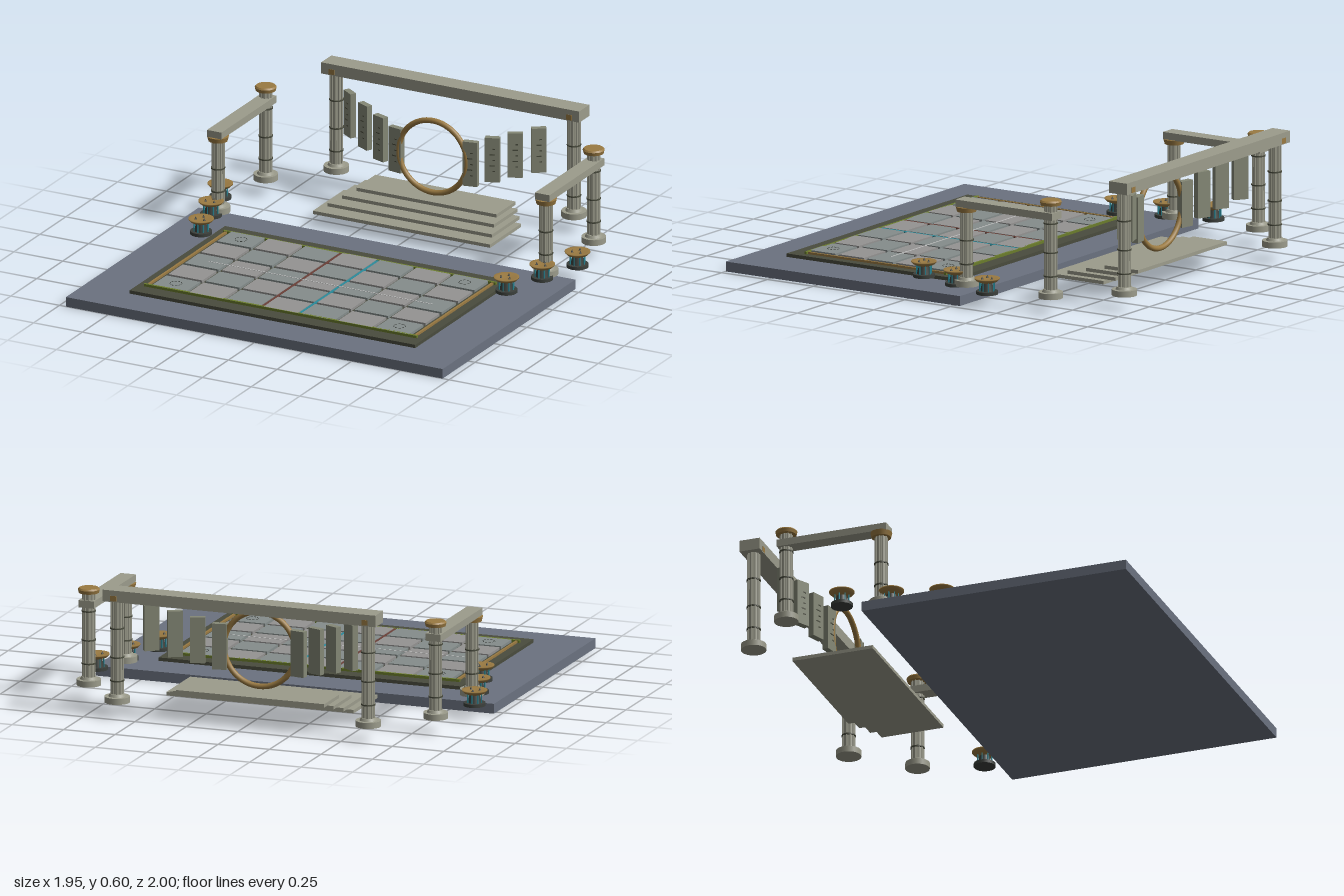
import * as THREE from 'three';

const mat = (color) => {
  const m = new THREE.MeshStandardMaterial();
  m.color.set(color);
  return m;
};
const M = {
  slab: mat(0x6b7280), stone: mat(0x9c9c8c), panel: mat(0x858876), bed: mat(0x4a4c3e),
  tileA: mat(0x858d8c), tileB: mat(0x949392), gold: mat(0x9a7a42), dark: mat(0x3c403c),
  teal: mat(0x2a8c9c), green: mat(0x6b7d2c), red: mat(0x6b4038), pale: mat(0xc4c8c4),
};

function add(parent, name, geometry, material, x = 0, y = 0, z = 0) {
  const mesh = new THREE.Mesh(geometry, material);
  mesh.name = name;
  mesh.position.set(x, y, z);
  parent.add(mesh);
  return mesh;
}

// Box given by its centre in x and z and its bottom and top heights
const box = (parent, name, material, x, z, w, d, y0, y1) =>
  add(parent, name, new THREE.BoxGeometry(w, y1 - y0, d), material, x, (y0 + y1) / 2, z);

// Upright cylinder between two heights
const drum = (parent, name, material, r0, r1, y0, y1, sides = 24) =>
  add(parent, name, new THREE.CylinderGeometry(r1, r0, y1 - y0, sides), material, 0, (y0 + y1) / 2, 0);

function group(parent, name, x = 0, z = 0) {
  const g = new THREE.Group();
  g.name = name;
  g.position.set(x, 0, z);
  parent.add(g);
  return g;
}

// Fluted column with a round foot and thin bands
function column(parent, name, x, z, top, baseRadius) {
  const g = group(parent, name, x, z);
  drum(g, 'foot', M.stone, baseRadius, baseRadius, 0.068, 0.096);
  drum(g, 'footCollar', M.stone, 0.04, 0.034, 0.096, 0.108);
  drum(g, 'shaft', M.stone, 0.027, 0.026, 0.1, top);
  for (let i = 0; i < 10; i++) {
    const a = (i / 10) * Math.PI * 2;
    const rib = drum(g, 'rib', M.stone, 0.004, 0.004, 0.1, top, 6);
    rib.position.x = Math.cos(a) * 0.027;
    rib.position.z = Math.sin(a) * 0.027;
  }
  for (const y of [0.17, 0.28, 0.415]) {
    if (y < top - 0.02) drum(g, 'band', M.bed, 0.033, 0.033, y - 0.003, y + 0.003);
  }
  return g;
}

// Dished lamp on a dark foot, with small spikes and teal struts
function brazier(parent, x, z) {
  const g = group(parent, 'brazier', x, z);
  drum(g, 'foot', M.dark, 0.05, 0.05, 0.062, 0.077);
  drum(g, 'stem', M.dark, 0.032, 0.022, 0.077, 0.118);
  for (let i = 0; i < 8; i++) {
    const a = (i / 8) * Math.PI * 2;
    const strut = drum(g, 'strut', M.teal, 0.003, 0.003, 0.077, 0.12, 6);
    strut.position.x = Math.cos(a) * 0.034;
    strut.position.z = Math.sin(a) * 0.034;
  }
  const dish = [[0, 0.112], [0.028, 0.114], [0.048, 0.122], [0.058, 0.132], [0.058, 0.137], [0.045, 0.134], [0, 0.13]];
  add(g, 'dish', new THREE.LatheGeometry(dish.map((p) => new THREE.Vector2(...p)), 28), M.gold);
  for (let i = 0; i < 3; i++) {
    const a = (i / 3) * Math.PI * 2 + 0.5;
    add(g, 'spike', new THREE.ConeGeometry(0.007, 0.016, 8), M.dark, Math.cos(a) * 0.025, 0.138, Math.sin(a) * 0.025);
  }
}

function floor(root) {
  const g = group(root, 'floor');
  box(g, 'slab', M.slab, 0, 0.36, 1.934, 1.28, 0, 0.046);
  box(g, 'tileBed', M.bed, 0, 0.365, 1.466, 0.92, 0.046, 0.062);
  // Chequered tiles
  for (let c = 0; c < 7; c++) {
    for (let r = 0; r < 5; r++) {
      box(g, 'tile', (c + r) % 2 ? M.tileB : M.tileA, (c - 3) * 0.191, 0.363 + (r - 2) * 0.157, 0.174, 0.138, 0.062, 0.074);
    }
  }
  // Coloured seams and border trim
  box(g, 'tealSeam', M.teal, 0.0955, 0.363, 0.012, 0.75, 0.062, 0.073);
  box(g, 'redSeam', M.red, -0.0955, 0.363, 0.012, 0.75, 0.062, 0.073);
  box(g, 'centreLine', M.pale, 0, 0.363, 1.15, 0.004, 0.072, 0.0755);
  for (const s of [-1, 1]) {
    box(g, 'borderTrim', M.green, 0, 0.363 + s * 0.381, 1.4, 0.012, 0.062, 0.074);
    box(g, 'sideTrim', M.gold, s * 0.685, 0.363, 0.01, 0.75, 0.062, 0.072);
    // Dashed circles on the corner tiles
    for (const t of [-1, 1]) {
      for (let i = 0; i < 10; i++) {
        const dash = add(g, 'circleDash', new THREE.TorusGeometry(0.027, 0.002, 4, 4, 0.4), M.dark, s * 0.574, 0.074, 0.363 + t * 0.314);
        dash.rotation.set(-Math.PI / 2, 0, (i / 10) * Math.PI * 2);
      }
    }
  }
}

function steps(root) {
  const g = group(root, 'steps');
  [[0.91, -0.72, -0.42], [0.845, -0.763, -0.5], [0.78, -0.804, -0.58], [0.72, -0.845, -0.66]].forEach(([w, z0, z1], i) => {
    box(g, 'step', M.stone, 0, (z0 + z1) / 2, w, z1 - z0, 0.06 + i * 0.016, 0.076 + i * 0.016);
  });
}

function gate(root) {
  const g = group(root, 'gate');
  add(g, 'ring', new THREE.TorusGeometry(0.174, 0.013, 14, 64), M.gold, 0, 0.319, -0.722);
  // Fan of hanging slabs, rising outwards on both sides
  const slabs = [[0.191, 0.318, -0.73, 0.18], [0.288, 0.346, -0.758, 0.34], [0.385, 0.374, -0.793, 0.48], [0.485, 0.403, -0.832, 0.6]];
  for (const s of [-1, 1]) {
    for (const [x, y, z, turn] of slabs) {
      const p = group(g, 'hangingSlab', s * x, z);
      p.position.y = y;
      p.rotation.y = s * turn;
      add(p, 'slabBody', new THREE.BoxGeometry(0.069, 0.214, 0.03), M.panel);
      // Short carved bars on the face
      for (let r = -2; r <= 2; r++) {
        add(p, 'carvedBar', new THREE.BoxGeometry(r % 2 ? 0.024 : 0.012, 0.005, 0.004), M.bed, r % 2 ? 0 : 0.008, r * 0.027, 0.015);
      }
    }
  }
}

function backPortal(root) {
  const g = group(root, 'backPortal');
  box(g, 'beam', M.stone, 0, -0.938, 1.325, 0.098, 0.546, 0.6);
  for (const s of [-1, 1]) {
    column(g, 'backColumn', s * 0.61, -0.938, 0.55, 0.058);
    box(g, 'beamStud', M.gold, s * 0.61, -0.938, 0.03, 0.101, 0.55, 0.575);
  }
}

function sideColonnade(root, s) {
  const g = group(root, 'sideColonnade', s * 0.842, 0);
  const front = column(g, 'frontColumn', 0, -0.232, 0.42, 0.056);
  drum(front, 'capital', M.gold, 0.044, 0.05, 0.412, 0.435);
  const rear = column(g, 'rearColumn', 0, -0.692, 0.505, 0.056);
  drum(rear, 'capital', M.gold, 0.046, 0.05, 0.5, 0.516);
  drum(rear, 'capitalTop', M.gold, 0.05, 0.044, 0.516, 0.523);
  box(g, 'sideBeam', M.stone, 0, -0.46, 0.074, 0.53, 0.434, 0.468);
}

export function createModel() {
  const root = new THREE.Group();
  root.name = 'courtyard';
  floor(root);
  steps(root);
  gate(root);
  backPortal(root);
  for (const s of [-1, 1]) {
    sideColonnade(root, s);
    for (const [x, z] of [[0.784, 0.04], [0.85, -0.18], [0.917, -0.395]]) brazier(root, s * x, z);
  }
  return root;
}
